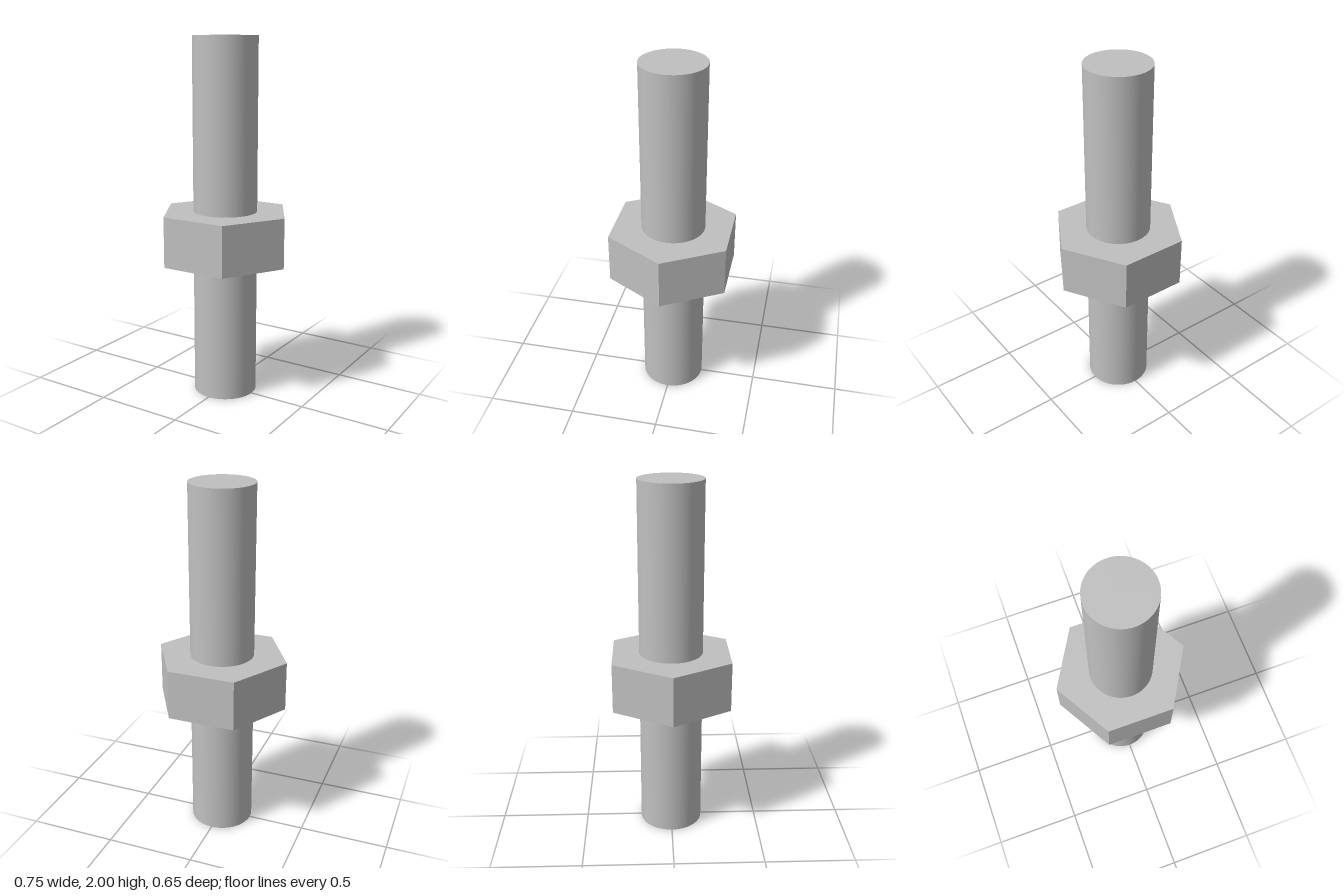
import * as THREE from 'three';

export function createModel() {
  const steel = new THREE.MeshStandardMaterial({ color: 0xc0c0c0 });
  steel.name = 'steel grey';
  const group = new THREE.Group();
  group.name = 'threadedRodWithNut';

  const rodRadius = 0.177, nutRadius = 0.373, nutBottom = 0.77, nutHeight = 0.28;

  // Smooth rod standing on the ground
  const rod = new THREE.Mesh(new THREE.CylinderGeometry(rodRadius, rodRadius, 2, 96), steel);
  rod.name = 'rod';
  rod.position.y = 1;
  group.add(rod);

  // Hexagonal nut with corners on the x axis and a bore for the rod
  const hexagon = new THREE.Shape(Array.from({ length: 6 }, (_, i) => {
    const a = (i * Math.PI) / 3;
    return new THREE.Vector2(Math.cos(a) * nutRadius, Math.sin(a) * nutRadius);
  }));
  hexagon.holes.push(new THREE.Path().absarc(0, 0, rodRadius - 0.002, 0, Math.PI * 2, true));
  const nutGeometry = new THREE.ExtrudeGeometry(hexagon, {
    depth: nutHeight, bevelEnabled: false, curveSegments: 48,
  });
  nutGeometry.rotateX(-Math.PI / 2);
  const nut = new THREE.Mesh(nutGeometry, steel);
  nut.name = 'hexNut';
  nut.position.y = nutBottom;
  group.add(nut);

  return group;
}
